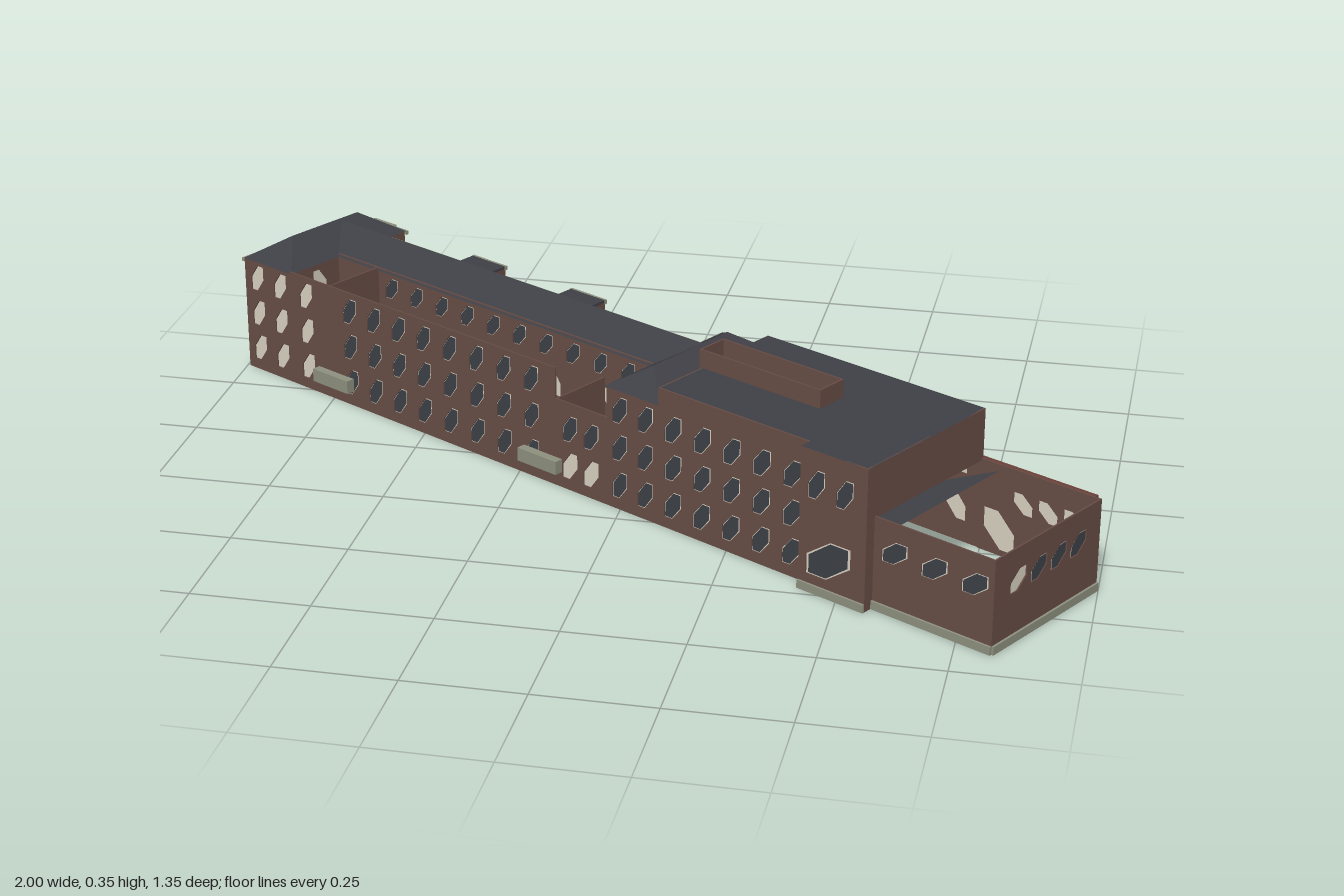
import * as THREE from 'three';

const mat = (name, color, side = THREE.FrontSide) => {
  const m = new THREE.MeshStandardMaterial({ color, side });
  m.name = name;
  return m;
};
const brick = mat('brick', 0x674c45);
const redBrick = mat('red brick', 0x6a4039);
const slate = mat('slate', 0x3f3f46, THREE.DoubleSide);
const glass = mat('glass', 0x3c4047, THREE.DoubleSide);
const pale = mat('pale frame', 0xd6d0c0, THREE.DoubleSide);
const stone = mat('stone', 0x8d907e);

const T = 0.004; // wall thickness

// Skewed window outline: a rectangle with two opposite corners cut off
function outline(Type, x, y, w, h) {
  const a = w / 2, b = h / 2, c = w * 0.55, d = h * 0.5;
  const p = new Type();
  p.moveTo(x - a, y - b);
  p.lineTo(x + a - c, y - b);
  p.lineTo(x + a, y - b + d);
  p.lineTo(x + a, y + b);
  p.lineTo(x - a + c, y + b);
  p.lineTo(x - a, y + b - d);
  p.closePath();
  return p;
}

// Wall from a to b, left to right as seen from outside.
// rows: { y, w, h, at: [distances along wall], kind: 'glass' | 'pale' }
function wall(name, a, b, y0, y1, rows = [], bands = []) {
  const g = new THREE.Group();
  g.name = name;
  const du = b[0] - a[0], dv = b[1] - a[1], len = Math.hypot(du, dv);
  g.position.set(a[0], 0, a[1]);
  g.rotation.y = -Math.atan2(dv, du);
  const shape = new THREE.Shape([[0, y0], [len, y0], [len, y1], [0, y1]].map(p => new THREE.Vector2(...p)));
  const panes = [], frames = [];
  for (const r of rows) for (const x of r.at) {
    shape.holes.push(outline(THREE.Path, x, r.y, r.w, r.h));
    frames.push(outline(THREE.Shape, x, r.y, r.w, r.h));
    if (r.kind === 'glass') panes.push(outline(THREE.Shape, x, r.y, r.w * 0.88, r.h * 0.92));
  }
  const add = (n, geo, m, z) => {
    const mesh = new THREE.Mesh(geo, m);
    mesh.name = n;
    mesh.position.z = z;
    g.add(mesh);
  };
  add(name + 'Brick', new THREE.ExtrudeGeometry(shape, { depth: T, bevelEnabled: false }), brick, -T);
  // Pale frame plates also form the inner face of each window
  if (frames.length) add('windowFrames', new THREE.ShapeGeometry(frames), pale, -0.003);
  if (panes.length) add('windowPanes', new THREE.ShapeGeometry(panes), glass, -0.0008);
  for (const [y, h] of bands) {
    const geo = new THREE.BoxGeometry(len, h, 0.006);
    geo.translate(len / 2, y, 0);
    add('stoneBand', geo, stone, 0.002);
  }
  return g;
}

// Evenly spaced positions
const even = (from, to, n) => Array.from({ length: n }, (_, i) => from + (to - from) * i / (n - 1));
const row = (y, w, h, at, kind = 'glass') => ({ y, w, h, at, kind });
const storeys = (at, w = 0.042, kind = 'glass') => [0.055, 0.14, 0.225].map(y => row(y, w, 0.062, at, kind));

// Roof sheet from polygons of [u, y, v] corners
function sheet(name, polys) {
  const pos = [];
  for (const p of polys) for (let i = 1; i < p.length - 1; i++) pos.push(...p[0], ...p[i], ...p[i + 1]);
  const geo = new THREE.BufferGeometry();
  geo.setAttribute('position', new THREE.Float32BufferAttribute(pos, 3));
  geo.computeVertexNormals();
  const mesh = new THREE.Mesh(geo, slate);
  mesh.name = name;
  return mesh;
}

// Hipped roof with its ridge running front to back
function hipRoof(name, u0, u1, v0, v1, y0, y1, hip) {
  const m = (u0 + u1) / 2;
  const A = [u0, y0, v0], B = [u1, y0, v0], C = [u1, y0, v1], D = [u0, y0, v1];
  const E = [m, y1, v0 + hip], F = [m, y1, v1 - hip];
  return sheet(name, [[A, D, F, E], [C, B, E, F], [B, A, E], [D, C, F]]);
}

function box(name, m, u0, u1, y0, y1, v0, v1) {
  const mesh = new THREE.Mesh(new THREE.BoxGeometry(u1 - u0, y1 - y0, v1 - v0), m);
  mesh.name = name;
  mesh.position.set((u0 + u1) / 2, (y0 + y1) / 2, (v0 + v1) / 2);
  return mesh;
}

export function createModel() {
  const model = new THREE.Group();
  model.name = 'longBrickBuilding';
  const body = new THREE.Group();
  body.name = 'building';
  body.rotation.y = -THREE.MathUtils.degToRad(29.4); // long axis lies diagonally
  model.add(body);
  const add = (...parts) => body.add(...parts);

  const F = 0.18, B = -0.18;

  // End pavilion
  add(
    wall('endPavilionFront', [-1.04, F], [-0.89, F], 0, 0.265, storeys([0.04, 0.115], 0.04, 'pale')),
    wall('endPavilionSide', [-1.04, B], [-1.04, F], 0, 0.265, storeys(even(0.05, 0.31, 4), 0.04)),
    wall('endPavilionBack', [-0.89, B], [-1.04, B], 0, 0.265, storeys([0.025, 0.13], 0.034)),
    wall('endPavilionInnerSide', [-0.89, -0.125], [-0.89, B], 0, 0.265),
    hipRoof('endPavilionRoof', -1.041, -0.885, -0.181, 0.181, 0.265, 0.315, 0.08),
    box('endPavilionSideCornice', stone, -1.048, -1.04, 0.256, 0.264, -0.187, 0.181),
    box('endPavilionBackCornice', stone, -1.048, -0.885, 0.256, 0.264, -0.188, B),
    wall('endPavilionBackBay', [-0.935, -0.194], [-1.005, -0.194], 0, 0.256, storeys([0.02, 0.05], 0.022), [[0.12, 0.01]]),
    box('endPavilionBayCap', stone, -1.005, -0.935, 0.256, 0.263, -0.198, B),
  );

  // Long wing: courtyard front wall, upper inner wall, back wall and pitched roof
  add(
    wall('courtyardFrontWall', [-0.89, F], [-0.08, F], 0, 0.27, [
      ...storeys([0.05], 0.04, 'pale'),
      ...storeys([...even(0.19, 0.42, 4), ...even(0.5, 0.74, 4)]),
    ]),
    wall('linkFrontWall', [-0.08, F], [0.065, F], 0, 0.2, [
      row(0.055, 0.042, 0.062, [0.04, 0.1], 'pale'), row(0.14, 0.042, 0.062, [0.04, 0.1]),
    ]),
    wall('wingInnerWall', [-0.89, 0.03], [0.065, 0.03], 0.19, 0.27, [row(0.228, 0.04, 0.05, even(0.17, 0.88, 10))]),
    wall('courtyardEndWall', [-0.76, F], [-0.76, 0.03], 0, 0.27),
    wall('courtyardLinkWall', [-0.08, 0.03], [-0.08, F], 0, 0.2),
    wall('wingBackWall', [0.065, -0.125], [-0.89, -0.125], 0, 0.265,
      storeys([0.05, 0.12, 0.19, 0.26, 0.43, 0.49, 0.55, 0.72, 0.78, 0.85, 0.91], 0.038)),
    sheet('wingRoof', [
      [[-0.968, 0.312, -0.047], [-0.89, 0.265, 0.035], [0.065, 0.265, 0.035], [0.135, 0.312, -0.047]],
      [[0.135, 0.312, -0.047], [0.065, 0.265, -0.127], [-0.89, 0.265, -0.127], [-0.968, 0.312, -0.047]],
    ]),
    box('wingBackCornice', stone, -0.89, 0.065, 0.256, 0.264, -0.134, -0.124),
  );
  for (const u of [-0.574, -0.274]) add(
    wall('wingBackBay', [u + 0.05, -0.135], [u - 0.05, -0.135], 0, 0.28, storeys([0.03, 0.07], 0.026)),
    box('bayParapet', brick, u - 0.05, u + 0.05, 0.262, 0.28, -0.134, -0.09),
    box('bayRoof', slate, u - 0.05, u + 0.05, 0.28, 0.286, -0.134, -0.09),
    box('bayCornice', stone, u - 0.052, u + 0.052, 0.277, 0.286, -0.14, -0.133),
  );
  for (const u of [-0.75, -0.118]) add(box('entranceCanopy', stone, u - 0.055, u + 0.055, 0.035, 0.065, F - 0.012, F + 0.02));

  // Middle pavilion
  add(
    wall('middlePavilionFront', [0.065, F], [0.205, F], 0, 0.27, storeys([0.035, 0.105])),
    wall('middlePavilionBack', [0.205, -0.19], [0.065, -0.19], 0, 0.27, [
      row(0.215, 0.024, 0.05, [0.03, 0.07, 0.11], 'pale'),
      row(0.14, 0.028, 0.062, [0.03, 0.07, 0.11]), row(0.055, 0.028, 0.062, [0.03, 0.07, 0.11]),
    ]),
    wall('middlePavilionSide', [0.065, -0.19], [0.065, -0.125], 0, 0.27, storeys([0.032], 0.036)),
    wall('middlePavilionInnerSide', [0.065, 0.03], [0.065, F], 0.19, 0.27),
    hipRoof('middlePavilionRoof', 0.06, 0.21, -0.192, 0.182, 0.27, 0.315, 0.07),
    box('middlePavilionBackCornice', stone, 0.057, 0.21, 0.261, 0.269, -0.198, -0.19),
    box('middlePavilionSideCornice', stone, 0.057, 0.065, 0.261, 0.269, -0.19, -0.125),
  );

  // Hall with flat roof and open roof shaft
  const H = 0.308, E = 0.76, HB = -0.176, s = { u0: 0.2, u1: 0.515, v0: -0.03, v1: 0.045 };
  const quad = (u0, u1, v0, v1, y) => [[u0, y, v0], [u0, y, v1], [u1, y, v1], [u1, y, v0]];
  add(
    wall('hallFront', [0.205, F], [0.595, F], 0, H, storeys(even(0.04, 0.35, 5), 0.046)),
    wall('hallBack', [E, HB], [0.205, HB], 0, 0.3, [
      row(0.265, 0.016, 0.038, even(0.04, 0.52, 16), 'pale'),
      row(0.185, 0.05, 0.062, even(0.06, 0.5, 6)),
      row(0.08, 0.05, 0.065, even(0.06, 0.5, 6)),
    ], [[0.006, 0.012]]),
    wall('hallEnd', [E, 0.205], [E, HB], 0.195, H),
    wall('hallInnerEnd', [0.205, HB], [0.205, F], 0.265, H),
    sheet('hallRoof', [
      quad(0.2, E, HB, s.v0, H), quad(0.2, E, s.v1, F, H),
      quad(s.u1, E, s.v0, s.v1, H), quad(0.595, E, F, 0.205, H),
    ]),
    box('backLedge', redBrick, 0.205, 1.03, 0.194, 0.2, -0.184, -0.174),
    wall('shaftFront', [s.u0, s.v1], [s.u1, s.v1], 0.3, 0.348),
    wall('shaftBack', [s.u1, s.v0], [s.u0, s.v0], 0.3, 0.348),
    wall('shaftEnd', [s.u1, s.v1], [s.u1, s.v0], 0.3, 0.348),
    wall('shaftInnerEnd', [s.u0, s.v0], [s.u0, s.v1], 0.3, 0.348),
  );

  // Projecting front bay with wide entrance
  add(
    wall('frontBay', [0.595, 0.205], [E, 0.205], 0, H, [
      row(0.08, 0.11, 0.085, [0.073]), row(0.235, 0.042, 0.065, [0.04, 0.11]),
    ], [[0.009, 0.018]]),
    wall('frontBaySide', [0.595, F], [0.595, 0.205], 0, H),
    wall('frontBaySide', [E, 0.205], [E, F], 0, 0.2),
  );

  // Low roofless annex
  const band = [[0.009, 0.018]], AB = -0.174;
  add(
    wall('annexFront', [E, F], [1.045, F], 0, 0.2, [row(0.135, 0.062, 0.05, even(0.05, 0.24, 3))], band),
    wall('annexEnd', [1.045, F], [1.045, AB], 0, 0.2, [
      row(0.13, 0.052, 0.046, [0.08], 'pale'), row(0.13, 0.052, 0.046, even(0.147, 0.28, 3)),
    ], band),
    wall('annexBack', [1.045, AB], [E, AB], 0, 0.2, [
      row(0.13, 0.045, 0.044, even(0.06, 0.18, 3)),
      row(0.055, 0.075, 0.085, [0.235]),
    ]),
    sheet('annexRoofStrip', [[[E, 0.195, -0.05], [E, 0.195, 0.17], [0.815, 0.195, 0.17], [0.815, 0.195, -0.153]]]),
  );

  return model;
}
